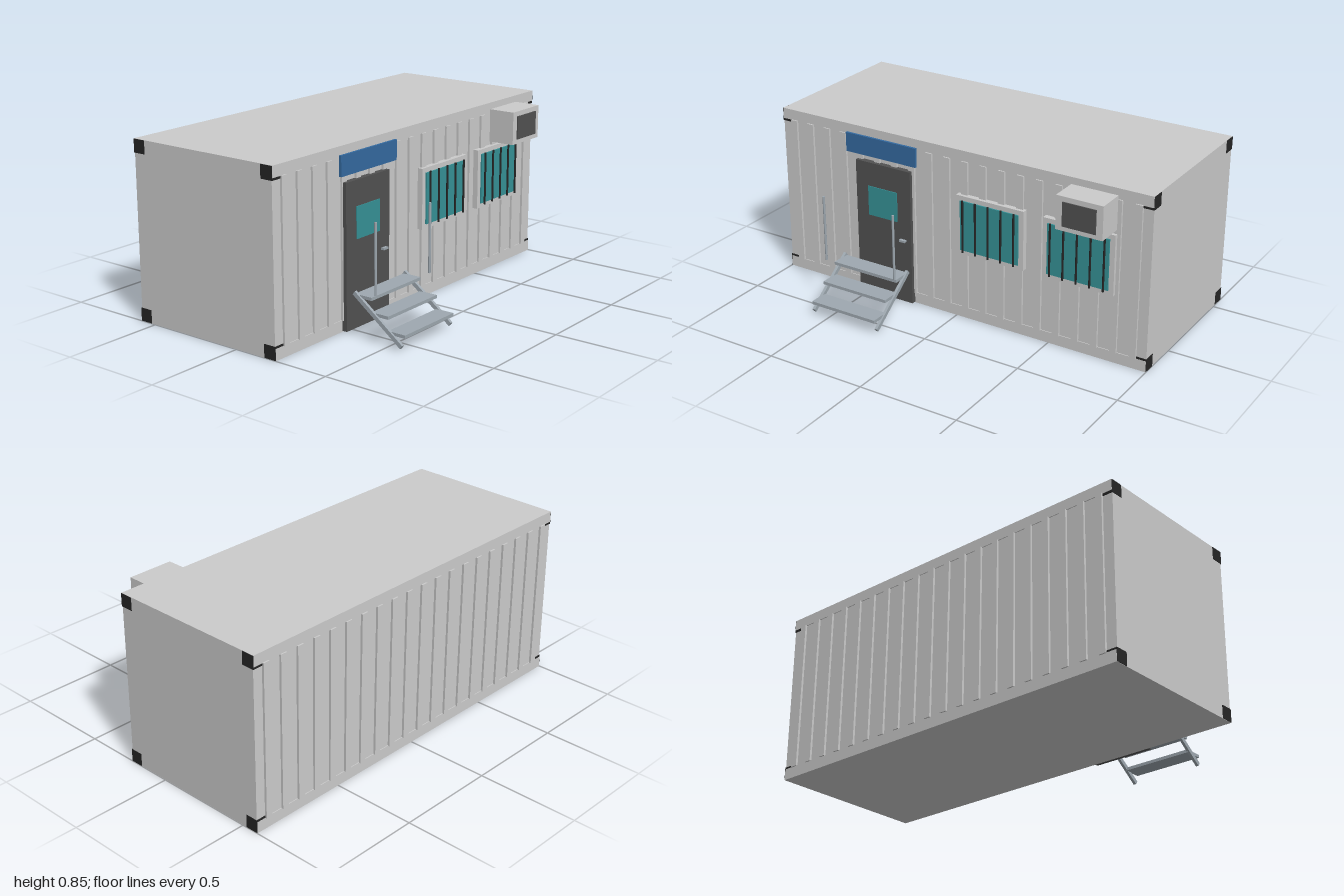
import * as THREE from 'three';

const mat = (color) => new THREE.MeshStandardMaterial({ color });

export function createModel() {
  const model = new THREE.Group();
  const grey = mat(0xcccccc), dark = mat(0x515151), black = mat(0x252525);
  const glass = mat(0x369297), blue = mat(0x346aa0), steel = mat(0x9ea8b0);

  // Box given by its min/max extents along each axis
  const box = (name, material, [x0, x1], [y0, y1], [z0, z1], parent = model) => {
    const mesh = new THREE.Mesh(new THREE.BoxGeometry(x1 - x0, y1 - y0, z1 - z0), material);
    mesh.position.set((x0 + x1) / 2, (y0 + y1) / 2, (z0 + z1) / 2);
    mesh.name = name;
    parent.add(mesh);
    return mesh;
  };
  const group = (name) => {
    const g = new THREE.Group();
    g.name = name;
    model.add(g);
    return g;
  };

  const front = 0.227, back = -0.587, H = 0.853;

  // Container shell with top and bottom rails
  box('body', grey, [-0.998, 0.998], [0.002, H - 0.002], [back + 0.004, front - 0.004]);
  box('bottomRail', grey, [-0.998, 0.998], [0, 0.055], [back, front]);
  box('topRail', grey, [-0.998, 0.998], [0.8, H], [back, front]);

  // Corner castings
  const corners = group('cornerCastings');
  for (const x of [-1, 0.948])
    for (const y of [0.001, H - 0.064])
      for (const z of [back + 0.0005, front - 0.0645])
        box('cornerCasting', black, [x, x + 0.052], [y, y + 0.063], [z, z + 0.064], corners);

  // Corrugation ribs on the long walls
  const ribs = group('wallRibs');
  for (let i = 0; i < 20; i++) {
    const x = -0.93 + i * 0.098;
    box('frontRib', grey, [x - 0.017, x + 0.017], [0.053, 0.802], [front - 0.01, front + 0.007], ribs);
    box('backRib', grey, [x - 0.017, x + 0.017], [0.053, 0.802], [back - 0.007, back + 0.01], ribs);
  }

  // Door with window and handle, and a blank sign above
  const door = group('door');
  box('doorPanel', dark, [-0.55, -0.24], [0.004, 0.69], [0.22, 0.251], door);
  box('doorWindow', glass, [-0.48, -0.315], [0.42, 0.57], [0.245, 0.255], door);
  box('doorHandle', steel, [-0.3, -0.268], [0.326, 0.336], [0.25, 0.267], door);
  box('signBoard', blue, [-0.595, -0.2], [0.727, 0.822], [0.25, 0.262]);

  // Barred windows
  for (const cx of [0.195, 0.655]) {
    const win = group('barredWindow');
    box('windowFrame', grey, [cx - 0.18, cx + 0.18], [0.345, 0.64], [0.22, 0.25], win);
    box('windowGlass', glass, [cx - 0.155, cx + 0.155], [0.368, 0.617], [0.245, 0.257], win);
    for (let i = -2; i <= 2; i++) {
      const bar = new THREE.Mesh(new THREE.CylinderGeometry(0.005, 0.005, 0.262, 8), black);
      bar.position.set(cx + i * 0.068, 0.493, 0.265);
      bar.name = 'windowBar';
      win.add(bar);
    }
  }

  // Air conditioner
  const ac = group('airConditioner');
  box('housing', grey, [0.602, 0.832], [0.66, 0.822], [0.232, 0.367], ac);
  box('grille', dark, [0.636, 0.8], [0.683, 0.798], [0.36, 0.373], ac);

  // Entry steps: three treads, two sloping stringers, two upright grab rails
  const steps = group('entrySteps');
  for (let i = 0; i < 3; i++) {
    const z = 0.595 - i * 0.0915, y = 0.06 + i * 0.066;
    box('tread', steel, [-0.578, -0.217], [y, y + 0.015], [z - 0.092, z], steps);
  }
  for (const side of [-1, 1]) {
    const stringer = new THREE.Mesh(new THREE.BoxGeometry(0.014, 0.02, 0.325), steel);
    stringer.position.set(-0.398 + side * 0.182, 0.116, 0.45);
    stringer.rotation.x = Math.atan2(0.195, 0.26);
    stringer.name = 'stringer';
    steps.add(stringer);
    const rail = new THREE.Mesh(new THREE.CylinderGeometry(0.006, 0.006, 0.33, 10), steel);
    rail.position.set(-0.398 + side * 0.198, 0.395, 0.449);
    rail.name = 'grabRail';
    steps.add(rail);
  }
  return model;
}
